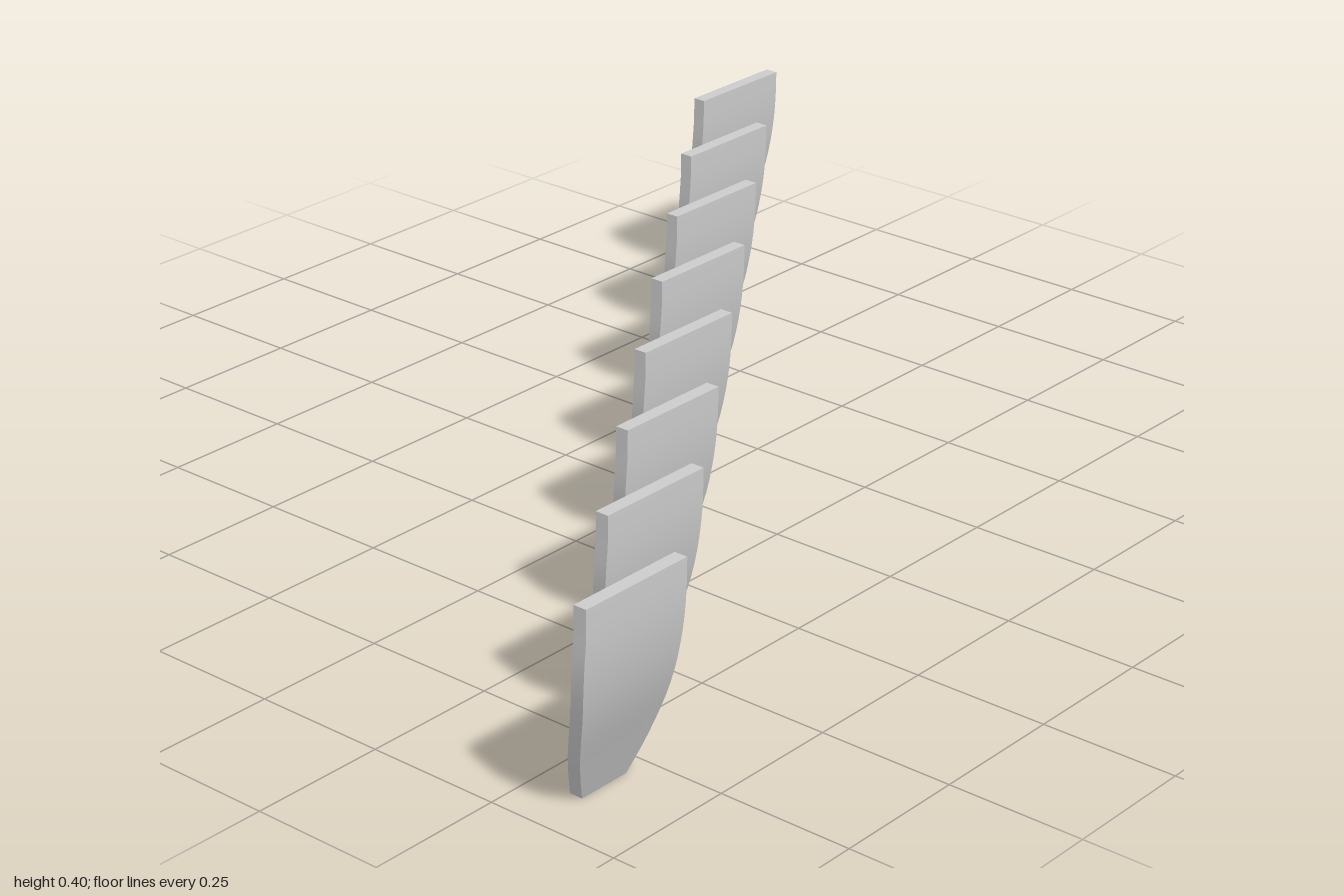
import * as THREE from 'three';
import { toCreasedNormals } from 'three/addons/utils/BufferGeometryUtils.js';

const HEIGHT = 0.4, WIDTH = 0.227, THICK = 0.025, COUNT = 8;

// Evenly spaced from bottom to top: sideways bend, front edge inset, back edge inset
const sections = new THREE.CatmullRomCurve3([
  [0, 0.099, 0.026],
  [0.02, 0.074, 0.011],
  [0.04, 0.051, 0.003],
  [0.06, 0.032, 0],
  [0.077, 0.017, 0],
  [0.089, 0.006, 0],
  [0.097, 0, 0],
  [0.101, 0, 0],
  [0.102, 0, 0],
].map(p => new THREE.Vector3(...p)), false, 'catmullrom');

// One curved blade: a thin box whose rows are bent and tapered
function bladeGeometry() {
  const geo = new THREE.BoxGeometry(THICK, HEIGHT, WIDTH, 1, 16, 1);
  const pos = geo.attributes.position;
  for (let i = 0; i < pos.count; i++) {
    const y = pos.getY(i) + HEIGHT / 2;
    const s = sections.getPoint(THREE.MathUtils.clamp(y / HEIGHT, 0, 1));
    const z = pos.getZ(i);
    pos.setXYZ(i, pos.getX(i) + s.x, y, z > 0 ? z - s.y : z + s.z);
  }
  return toCreasedNormals(geo, 0.5);
}

export function createModel() {
  const group = new THREE.Group();
  group.name = 'bladeRow';
  const material = new THREE.MeshStandardMaterial({ color: 0xcccccc });
  const geo = bladeGeometry();

  // Identical blades stepped along a diagonal
  const startX = -0.7 + THICK / 2, endX = 0.7 - THICK / 2 - 0.102;
  const endZ = 1 - WIDTH / 2;
  for (let i = 0; i < COUNT; i++) {
    const t = i / (COUNT - 1);
    const blade = new THREE.Mesh(geo, material);
    blade.name = `blade${i + 1}`;
    blade.position.set(
      THREE.MathUtils.lerp(startX, endX, t), 0,
      THREE.MathUtils.lerp(-endZ, endZ, t));
    group.add(blade);
  }
  return group;
}
